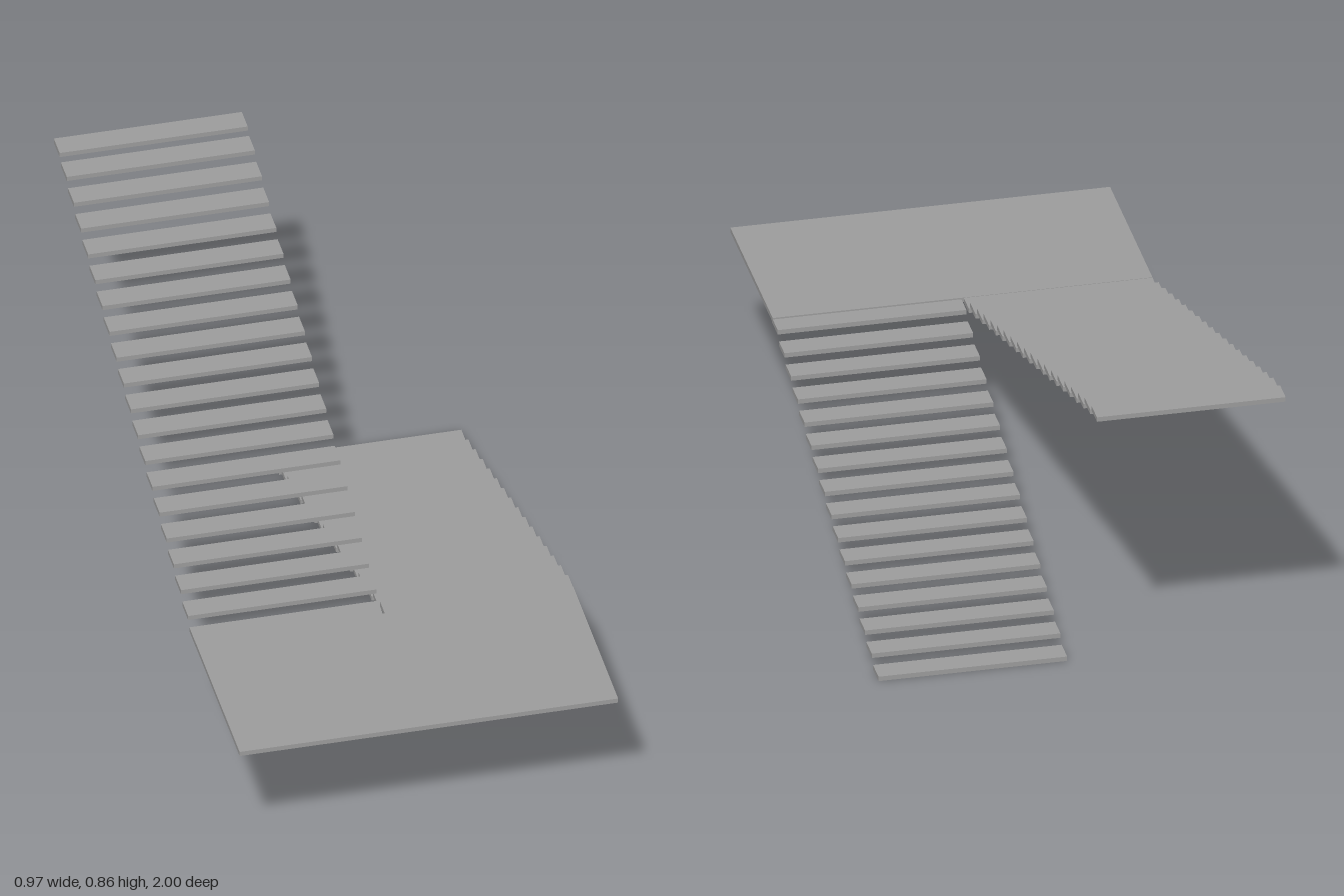
import * as THREE from 'three';

const material = new THREE.MeshStandardMaterial({ color: 0x9c9c9c, flatShading: true });

const THICK = 0.0125;      // slab and tread thickness
const RISE = 0.0249;       // height between treads
const DEPTH = 0.063;       // tread depth
const HALF = 0.485;        // half width of the staircase
const GAP = 0.003;         // half of the slot between the flights
const LANDING_Y = 0.3735;  // underside of the treads level with the landing
const LANDING_BACK = 0.46; // back edge of those treads

// Box given by its minimum and maximum corners
function slab(name, x0, x1, y0, y1, z0, z1) {
  const mesh = new THREE.Mesh(new THREE.BoxGeometry(x1 - x0, y1 - y0, z1 - z0), material);
  mesh.position.set((x0 + x1) / 2, (y0 + y1) / 2, (z0 + z1) / 2);
  mesh.name = name;
  return mesh;
}

// Straight run of floating treads leading back from the landing
function flight(name, x0, x1, count, run, heightAt) {
  const group = new THREE.Group();
  group.name = name;
  for (let k = 0; k <= count; k++) {
    const y = heightAt(k);
    const z = LANDING_BACK - run * k;
    group.add(slab('tread', x0, x1, y, y + THICK, z, z + DEPTH));
  }
  return group;
}

export function createModel() {
  const model = new THREE.Group();
  model.name = 'staircase';

  // Half-turn landing
  const y = LANDING_Y + 0.004;
  model.add(slab('landing', -HALF, HALF, y, y + THICK, 0.517, 1));

  // Lower flight descends to the ground on the left
  model.add(flight('lowerFlight', GAP, HALF, 15, 0.0765, (k) => LANDING_Y - RISE * k));

  // Upper flight climbs on the right, with a shorter last rise
  model.add(flight('upperFlight', -HALF, -GAP, 19, 0.0768,
    (k) => LANDING_Y + 0.003 + RISE * k - (k === 19 ? 0.006 : 0)));

  return model;
}
